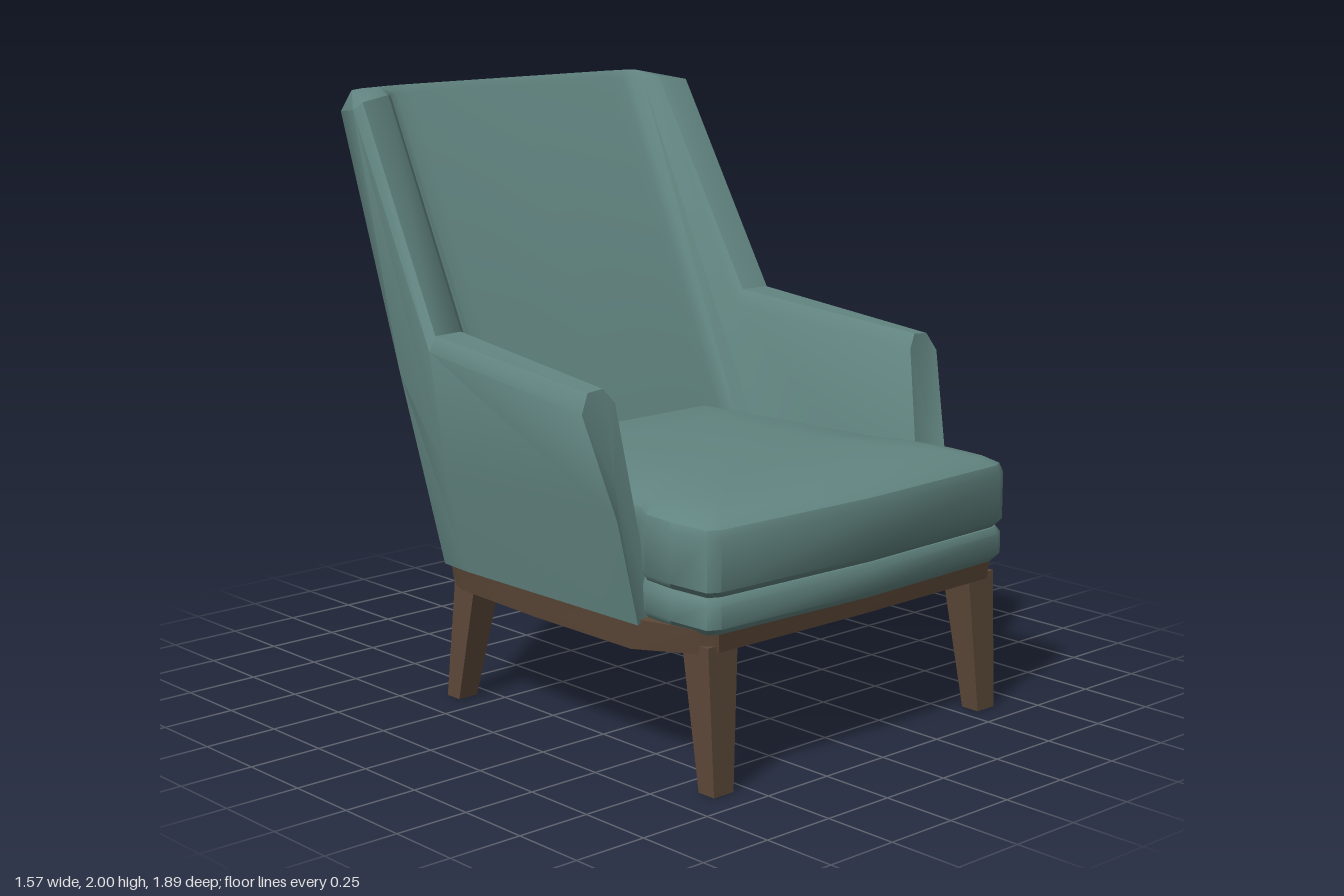
import * as THREE from 'three';
import { toCreasedNormals } from 'three/addons/utils/BufferGeometryUtils.js';

const fabric = new THREE.MeshStandardMaterial({ color: 0x628581 });
fabric.name = 'teal fabric';
const wood = new THREE.MeshStandardMaterial({ color: 0x5c4838 });
wood.name = 'dark wood';

// Skins a list of closed rings of [x, y, z] points and caps both ends
function loft(rings, crease) {
  const n = rings[0].length, pos = rings.flat(2), idx = [];
  for (let i = 0; i < rings.length - 1; i++) {
    for (let j = 0; j < n; j++) {
      const a = i * n + j, b = i * n + (j + 1) % n;
      idx.push(a, a + n, b, b, a + n, b + n);
    }
  }
  const cap = (ring, base, flip) => {
    const centre = pos.length / 3;
    for (let q = 0; q < 3; q++) pos.push(ring.reduce((s, p) => s + p[q], 0) / n);
    for (let j = 0; j < n; j++) {
      const a = base + j, b = base + (j + 1) % n;
      idx.push(centre, flip ? b : a, flip ? a : b);
    }
  };
  cap(rings[0], 0, false);
  cap(rings.at(-1), (rings.length - 1) * n, true);
  const g = new THREE.BufferGeometry();
  g.setAttribute('position', new THREE.Float32BufferAttribute(pos, 3));
  g.setIndex(idx);
  return toCreasedNormals(g, crease);
}

function part(name, geometry, material) {
  const m = new THREE.Mesh(geometry, material);
  m.name = name;
  return m;
}

// Completes a half plan outline of [x, z] (back to front, +x side) by mirroring
const mirrorPlan = half =>
  [...half, ...half.filter(p => p[0] > 0).reverse().map(([x, z]) => [-x, z])];

// Stacks scaled copies of a plan outline; each layer is [height as a function of z, scale]
function stack(half, layers, zc, crease) {
  const plan = mirrorPlan(half);
  return loft(layers.map(([height, s]) =>
    plan.map(([x, z]) => [x * s, height(z), zc + (z - zc) * s])), crease);
}

// Arms, wings and back: one section swept in a U.
// Section order: outer bottom, outer middle, outer top, crown out, crown in, inner top, inner bottom
function shellGeometry() {
  const armFront = [[.68, .48, .62], [.73, .8, .585], [.785, 1.12, .49],
    [.75, 1.18, .475], [.69, 1.185, .475], [.655, 1.14, .49], [.6, .5, .6]];
  const wingFoot = [[.69, .48, -.2], [.735, .8, -.24], [.765, 1.2, -.28],
    [.74, 1.25, -.28], [.63, 1.25, -.29], [.6, 1.2, -.3], [.55, .5, 0]];
  const wingTop = [[.68, .48, -.33], [.735, 1.1, -.48], [.74, 1.94, -.7],
    [.715, 1.965, -.68], [.6, 1.98, -.7], [.56, 1.97, -.74], [.53, .5, -.08]];

  // Back section as [y, z, share of the way from outer to inner face]
  const back = [[.48, -.445, .2], [1.17, -.635, 0], [1.92, -.945, 0],
    [1.99, -.905, .15], [2, -.82, .6], [1.975, -.79, .8], [.5, -.09, 1]];
  // Stations round the corner: outer x, inner x, forward shift of the outer face
  const backRings = [[.665, .5, .07], [.59, .48, .025], [.47, .43, .004], [0, 0, 0]]
    .map(([xo, xi, shift]) => back.map(([y, z, t]) =>
      [THREE.MathUtils.lerp(xo, xi, t), y, z + shift * (1 - t)]));

  const half = [armFront, wingFoot, wingTop, ...backRings];
  const other = half.slice(0, -1).reverse().map(r => r.map(([x, y, z]) => [-x, y, z]));
  return loft([...half, ...other], 0.75);
}

// Tapered leg; top and bottom are [x0, x1, z0, z1, y]
function legGeometry(top, bottom) {
  const ring = ([x0, x1, z0, z1, y]) => [[x1, y, z0], [x1, y, z1], [x0, y, z1], [x0, y, z0]];
  return loft([ring(bottom), ring(top)], 0.3);
}

export function createModel() {
  const chair = new THREE.Group();
  chair.name = 'armchair';

  chair.add(part('armsAndBack', shellGeometry(), fabric));

  // Seat plan, wider in front of the arms; used by the crowned cushion and the rail below it
  const seatPlan = [[.52, -.4], [.61, .55], [.66, .63], [.67, .75], [.66, .9], [.62, .92], [0, .945]];
  const level = (y, s) => [() => y, s];
  chair.add(part('seatCushion', stack(seatPlan, [
    level(.615, .975), level(.635, 1), level(.79, 1), level(.82, .985),
    level(.845, .92), level(.867, .78), level(.878, .5),
  ], .3, 0.7), fabric));
  chair.add(part('seatRail', stack(seatPlan, [
    level(.5, .97), level(.52, .995), level(.59, .995), level(.612, .975),
  ], .3, 0.7), fabric));

  // Wooden base, rising towards the front
  const rise = (low, high) => z => THREE.MathUtils.mapLinear(Math.max(z, .57), .57, .9, low, high);
  const basePlan = [[0, -.42], [.54, -.415], [.62, -.38], [.65, -.3], [.67, .1], [.67, .57],
    [.65, .85], [.61, .9], [0, .915]];
  chair.add(part('woodenBase', stack(basePlan, [
    [rise(.39, .44), .985], [rise(.49, .515), 1],
  ], .25, 0.6), wood));

  // Legs
  for (const side of [1, -1]) {
    const across = (a, b) => side > 0 ? [a, b] : [-b, -a];
    const suffix = side > 0 ? 'Left' : 'Right';
    chair.add(part('frontLeg' + suffix, legGeometry(
      [...across(.52, .64), .77, .885, .46], [...across(.555, .635), .84, .907, 0]), wood));
    chair.add(part('backLeg' + suffix, legGeometry(
      [...across(.51, .62), -.355, -.25, .42], [...across(.55, .625), -.4, -.337, 0]), wood));
  }
  return chair;
}
